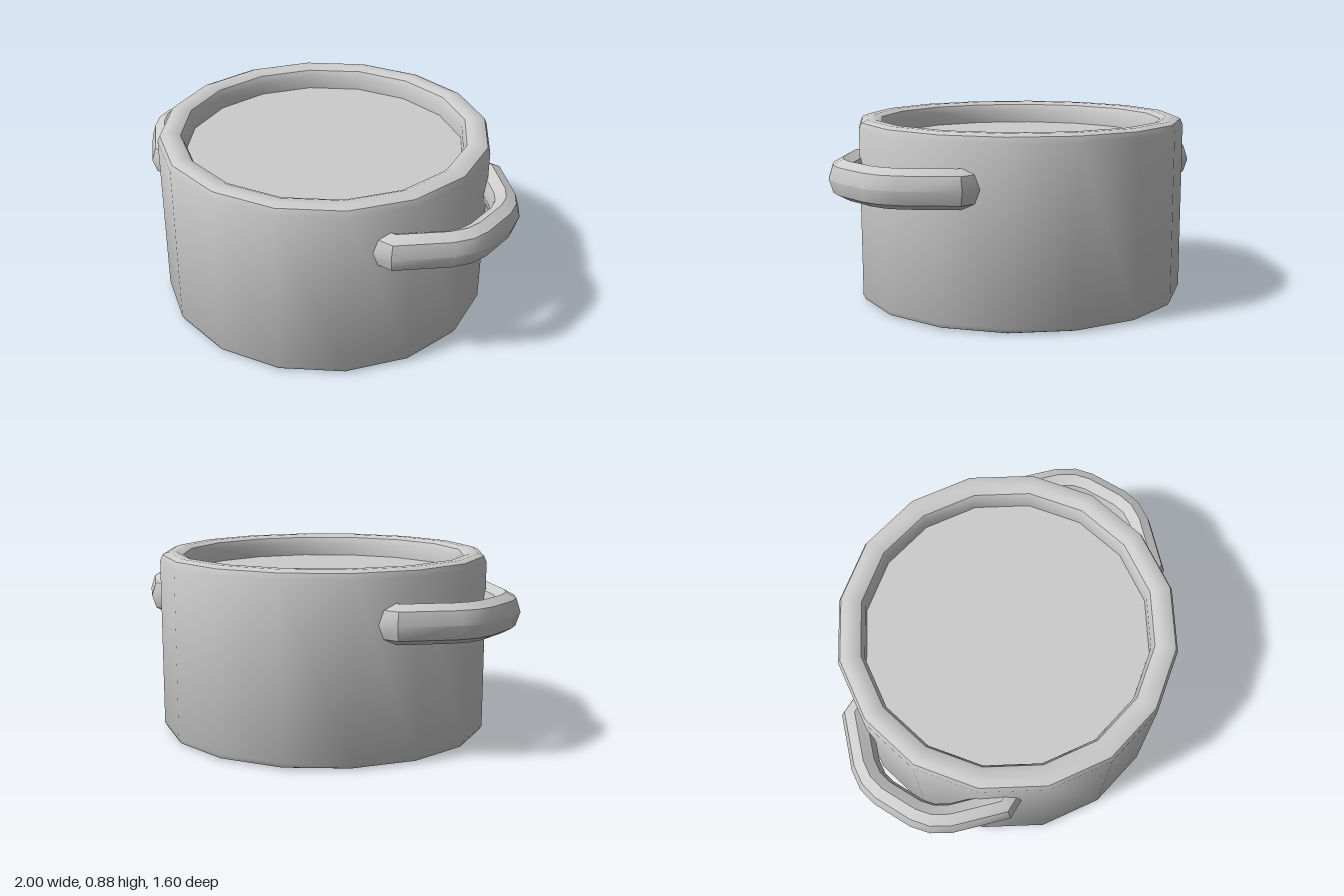
import * as THREE from 'three';
import { toCreasedNormals } from 'three/addons/utils/BufferGeometryUtils.js';

const material = new THREE.MeshStandardMaterial({ color: 0xcccccc });

function lathe(name, profile) {
  const points = profile.map(([r, y]) => new THREE.Vector2(r, y));
  const geometry = toCreasedNormals(new THREE.LatheGeometry(points, 16), 0.62);
  const mesh = new THREE.Mesh(geometry, material);
  mesh.name = name;
  return mesh;
}

// Sweeps an eight-sided oval along a flat path with mitred corners and closed ends
function handleGeometry(path, rx, ry, y) {
  const sides = 8;
  const positions = [];
  const index = [];
  const points = path.map(([x, z]) => new THREE.Vector2(x, z));
  const last = points.length - 1;
  const direction = (i) => points[i + 1].clone().sub(points[i]).normalize();
  points.forEach((p, i) => {
    const before = direction(Math.max(i - 1, 0));
    const after = direction(Math.min(i, last - 1));
    const tangent = before.clone().add(after).normalize();
    const width = rx / tangent.dot(after);
    for (let j = 0; j < sides; j++) {
      const a = (j / sides) * Math.PI * 2;
      const out = Math.cos(a) * width;
      // the path runs from -z to +z, so outward is (tangent z, -tangent x)
      positions.push(p.x + tangent.y * out, y + Math.sin(a) * ry, p.y - tangent.x * out);
    }
  });
  for (let i = 0; i < last; i++) {
    for (let j = 0; j < sides; j++) {
      const a = i * sides + j;
      const b = i * sides + ((j + 1) % sides);
      index.push(a, b, a + sides, b, b + sides, a + sides);
    }
  }
  const end = last * sides;
  for (let j = 1; j < sides - 1; j++) {
    index.push(0, j + 1, j, end, end + j, end + j + 1);
  }
  const geometry = new THREE.BufferGeometry();
  geometry.setAttribute('position', new THREE.Float32BufferAttribute(positions, 3));
  geometry.setIndex(index);
  return toCreasedNormals(geometry, 0.62);
}

export function createModel() {
  const group = new THREE.Group();
  group.name = 'cookingPot';

  // Solid outer wall with softened base and rounded rim
  group.add(lathe('potBody', [
    [0, 0], [0.765, 0], [0.788, 0.008], [0.8, 0.03],
    [0.8, 0.84], [0.788, 0.868], [0.76, 0.88], [0.72, 0.88],
    [0.69, 0.866], [0.675, 0.835], [0.675, 0.76],
  ]));

  // Surface filling the pot just below the rim
  group.add(lathe('contents', [[0.68, 0.77], [0, 0.77]]));

  // Side handles
  const half = [[0.6, 0.4], [0.7, 0.4], [0.87, 0.235], [0.915, 0.165], [0.9325, 0.09]];
  const path = [...half.map(([x, z]) => [x, -z]), ...half.slice().reverse()];
  const geometry = handleGeometry(path, 0.0675, 0.09, 0.64);
  for (const side of [1, -1]) {
    const handle = new THREE.Mesh(geometry, material);
    handle.name = side > 0 ? 'leftHandle' : 'rightHandle';
    handle.rotation.y = side > 0 ? 0 : Math.PI;
    group.add(handle);
  }
  return group;
}
